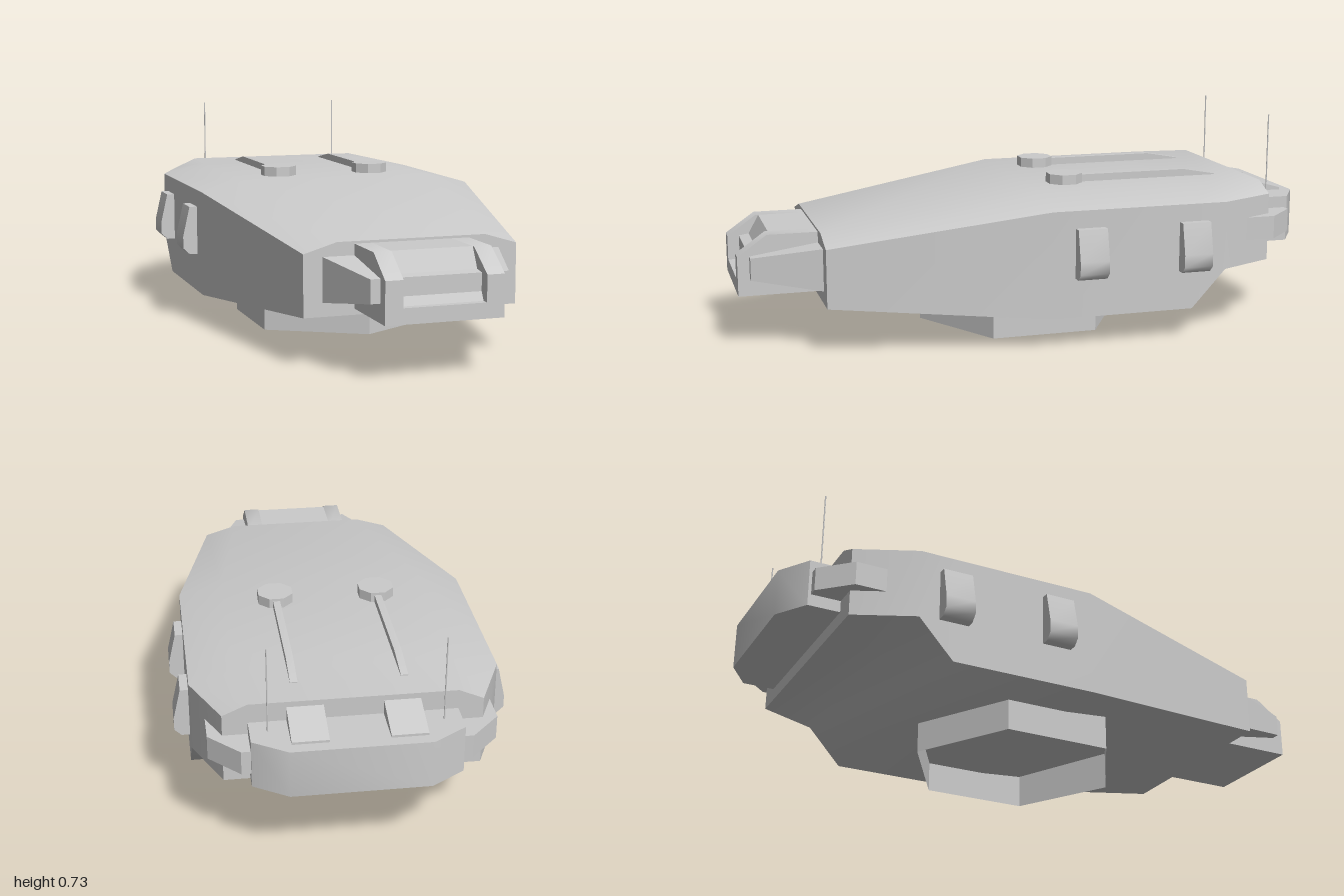
import * as THREE from 'three';
import { toCreasedNormals } from 'three/addons/utils/BufferGeometryUtils.js';

const material = new THREE.MeshStandardMaterial({ color: 0xcccccc });
const openMaterial = new THREE.MeshStandardMaterial({ color: 0xcccccc, side: THREE.DoubleSide });

// Skin equal-length loops, ordered front (+z) to back, each counter-clockwise seen from +z
function loft(sections) {
  const n = sections[0].length, index = [];
  for (let s = 0; s < sections.length - 1; s++) {
    for (let i = 0; i < n; i++) {
      const j = (i + 1) % n, a = s * n, b = a + n;
      index.push(a + i, b + i, b + j, a + i, b + j, a + j);
    }
  }
  const last = (sections.length - 1) * n;
  for (let i = 1; i < n - 1; i++) {
    index.push(0, i, i + 1, last, last + i + 1, last + i);
  }
  const g = new THREE.BufferGeometry();
  g.setAttribute('position', new THREE.Float32BufferAttribute(sections.flat(2), 3));
  g.setIndex(index);
  return g;
}

function extrude(points, depth) {
  const shape = new THREE.Shape(points.map(([x, y]) => new THREE.Vector2(x, y)));
  return new THREE.ExtrudeGeometry(shape, { depth, bevelEnabled: false });
}

// Side profile of (z, y) points spanning x0..x1
const acrossX = (points, x0, x1) =>
  extrude(points, x1 - x0).rotateY(-Math.PI / 2).translate(x1, 0, 0);

// Plan of (x, z) points spanning y0..y1
const upY = (points, y0, y1) =>
  extrude(points.map(([x, z]) => [x, -z]), y1 - y0).rotateX(-Math.PI / 2).translate(0, y0, 0);

export function createModel() {
  const model = new THREE.Group();
  const add = (name, geometry, crease = 0.7, mat = material) => {
    const mesh = new THREE.Mesh(toCreasedNormals(geometry, crease), mat);
    mesh.name = name;
    model.add(mesh);
    return mesh;
  };

  // Main shell: z, half width, bottom, shoulder height, roof half width, roof height
  const shell = [
    [0.73, 0.36, 0.16, 0.36, 0.25, 0.393],
    [0, 0.5, 0.105, 0.47, 0.35, 0.505],
    [-0.5, 0.5, 0.105, 0.47, 0.35, 0.505],
    [-0.62, 0.5, 0.235, 0.47, 0.35, 0.505],
    [-0.82, 0.41, 0.235, 0.47, 0.33, 0.505],
  ].map(([z, w, yb, ys, wt, yt]) => [
    [-w, yb, z], [w, yb, z], [w, ys, z], [wt, yt, z], [-wt, yt, z], [-w, ys, z],
  ]);
  add('turretShell', loft(shell), 0.9);

  // Hexagonal open collar underneath
  const collar = new THREE.CylinderGeometry(0.37, 0.37, 0.14, 6, 1, true).translate(0, 0.07, -0.03);
  add('turretCollar', collar, 0.7, openMaterial);

  // Gun mantlet with a recessed centre panel
  const outer = [[0.7, 0.18], [1, 0.18], [1, 0.315], [0.9, 0.385], [0.7, 0.385]];
  const inner = [[0.7, 0.18], [1, 0.18], [1, 0.23], [0.975, 0.23], [0.89, 0.385], [0.7, 0.385]];
  add('mantletCentre', acrossX(inner, -0.135, 0.135));
  add('mantletLeft', acrossX(outer, 0.135, 0.193));
  add('mantletRight', acrossX(outer, -0.193, -0.135));

  // Tapered blocks either side of the mantlet
  const rect = (x, y0, y1, z) => [[-x, y0, z], [x, y0, z], [x, y1, z], [-x, y1, z]];
  add('mantletSupport', loft([rect(0.225, 0.24, 0.315, 0.96), rect(0.3, 0.203, 0.35, 0.72)]));

  // Rear bustle
  add('rearBustle', upY([
    [-0.33, -0.78], [0.33, -0.78], [0.33, -0.93], [0.22, -1], [-0.22, -1], [-0.33, -0.93],
  ], 0.28, 0.44));

  for (const side of [1, -1]) {
    const label = side > 0 ? 'left' : 'right';

    // Side pods wrapping the rear corners
    add(label + 'RearPod', upY([
      [0.3, -0.71], [0.457, -0.71], [0.457, -0.82], [0.36, -0.92], [0.3, -0.92],
    ].map(([x, z]) => [side * x, z]), 0.32, 0.4));

    // Bulged side ports
    for (const z of [-0.13, -0.5]) {
      const profile = [[0.48, 0.24], [0.528, 0.24], [0.551, 0.262], [0.551, 0.305], [0.527, 0.41], [0.48, 0.41]];
      add(label + 'SidePort', extrude(profile.map(([x, y]) => [side * x, y]), 0.102)
        .translate(0, 0, z - 0.051), 0.9);
    }

    // Sloping rear stowage boxes
    const bx = side * 0.152;
    add(label + 'StowageBox', acrossX(
      [[-0.8, 0.42], [-0.8, 0.492], [-0.96, 0.448], [-0.96, 0.42]], bx - 0.058, bx + 0.058));

    // Roof knobs and the rods trailing behind them
    const kx = side > 0 ? 0.174 : -0.178;
    add(label + 'RoofKnob', new THREE.CylinderGeometry(0.064, 0.064, 0.05, 8)
      .rotateY(Math.PI / 8).translate(kx, 0.514, -0.144));
    add(label + 'RoofRod', acrossX(
      [[-0.15, 0.49], [-0.15, 0.53], [-0.59, 0.53], [-0.71, 0.508], [-0.71, 0.49]], kx - 0.012, kx + 0.012));

    // Whip antennas
    add(label + 'Antenna', new THREE.CylinderGeometry(0.0025, 0.0025, 0.3, 6)
      .translate(side * 0.274, 0.577, -0.875));
  }
  return model;
}
